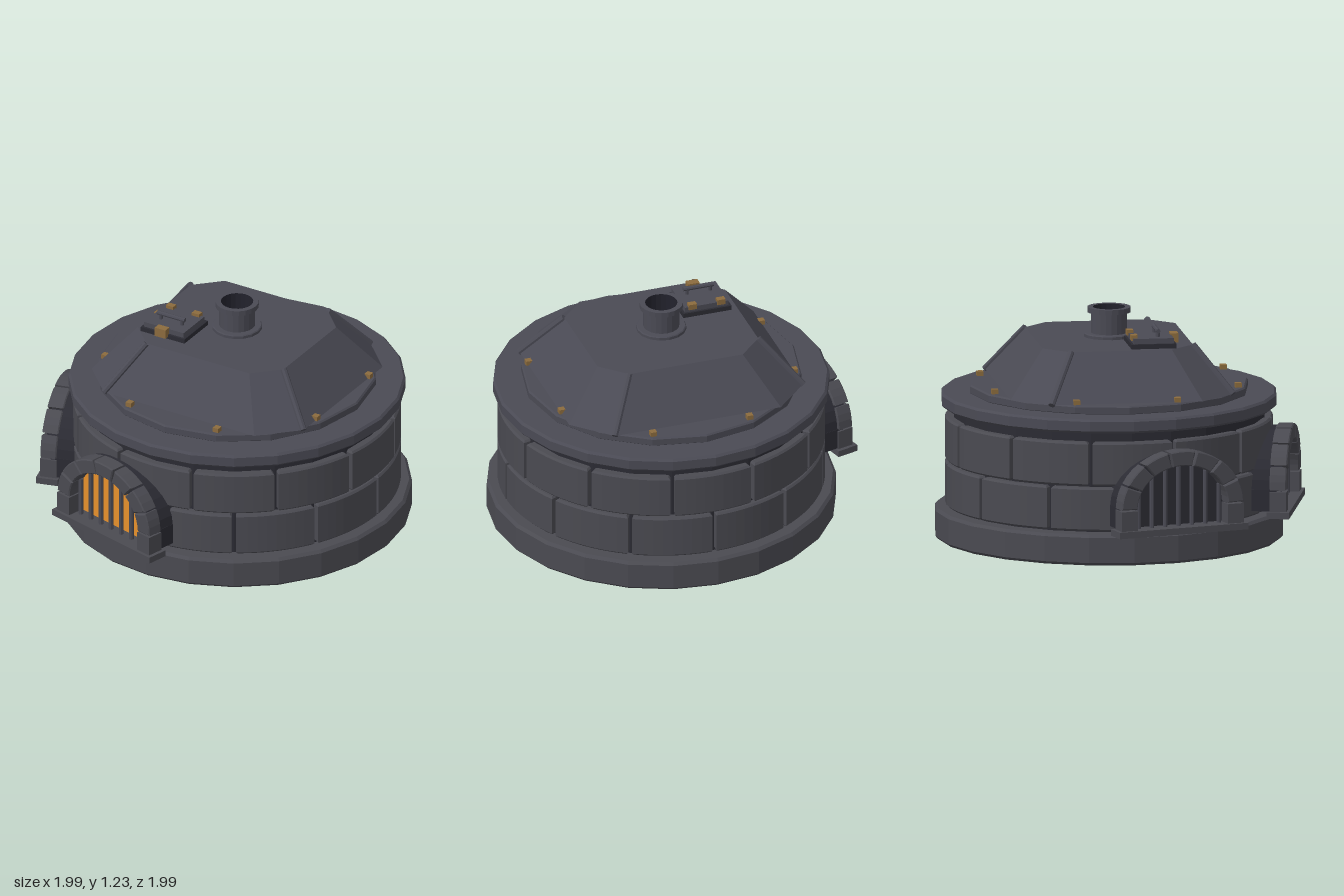
import * as THREE from 'three';

const mat = (name, color) => Object.assign(new THREE.MeshStandardMaterial({ color }), { name });

export function createModel() {
  const stone = mat('stone', 0x4a4a51);
  const iron = mat('iron', 0x4a4a54);
  const dark = mat('dark joints', 0x2b2b33);
  const soot = mat('soot', 0x22222c);
  const brass = mat('brass', 0x8b6b3d);
  const glow = mat('fire glow', 0xe8912c);

  const root = new THREE.Group();
  const oven = new THREE.Group();
  oven.name = 'oven';
  oven.position.set(0.067, 0, -0.07);
  root.add(oven);

  // Faceted mesh helper
  const add = (parent, name, geo, material, x = 0, y = 0, z = 0) => {
    const g = geo.index ? geo.toNonIndexed() : geo;
    g.computeVertexNormals();
    const m = new THREE.Mesh(g, material);
    m.name = name;
    m.position.set(x, y, z);
    parent.add(m);
    return m;
  };
  const box = (parent, name, w, h, d, material, x, y, z) =>
    add(parent, name, new THREE.BoxGeometry(w, h, d), material, x, y, z);
  // Disc with softened rims
  const disc = (name, r, y0, y1, sides, material, b = 0.012) => add(oven, name, new THREE.LatheGeometry(
    [[0, y0], [r - b, y0], [r, y0 + b], [r, y1 - b], [r - b, y1], [0, y1]].map(p => new THREE.Vector2(...p)), sides), material);
  // Round bar between two points
  const bar = (parent, name, a, b, r, material, sides = 8) => {
    const dir = b.clone().sub(a);
    const m = add(parent, name, new THREE.CylinderGeometry(r, r, dir.length(), sides), material);
    m.position.copy(a).add(b).multiplyScalar(0.5);
    m.quaternion.setFromUnitVectors(new THREE.Vector3(0, 1, 0), dir.normalize());
    return m;
  };
  const V = (x, y, z) => new THREE.Vector3(x, y, z);

  // Round layers
  disc('basePlinth', 0.927, 0, 0.165, 24, stone, 0.015);
  disc('wallCore', 0.828, 0.16, 0.71, 24, dark, 0.002);
  disc('rimRing', 0.893, 0.705, 0.78, 24, iron);
  disc('topPlate', 0.743, 0.775, 0.825, 16, iron, 0.008);

  // Two staggered courses of curved blocks
  const bevel = 0.01, gap = 0.011;
  const course = (y0, y1, offset) => {
    for (let i = 0; i < 12; i++) {
      const a0 = offset + i * Math.PI / 6 + (gap + bevel) / 0.86;
      const a1 = offset + (i + 1) * Math.PI / 6 - (gap + bevel) / 0.86;
      const s = new THREE.Shape();
      s.absarc(0, 0, 0.858, a0, a1, false);
      s.absarc(0, 0, 0.8, a1, a0, true);
      const g = new THREE.ExtrudeGeometry(s, { depth: y1 - y0 - 2 * bevel, bevelThickness: bevel,
        bevelSize: bevel, bevelSegments: 1, curveSegments: 4 });
      g.rotateX(-Math.PI / 2);
      add(oven, 'wallBlock', g, stone, 0, y0 + bevel, 0);
    }
  };
  course(0.175, 0.408, 0);
  course(0.418, 0.652, Math.PI / 12);

  // Hood: tapered octagon
  const octagon = (hx, hz, c, y) => [[c - hx, hz], [hx - c, hz], [hx, hz - c], [hx, c - hz],
    [hx - c, -hz], [c - hx, -hz], [-hx, c - hz], [-hx, hz - c]].map(([x, z]) => V(x, y, z));
  const low = octagon(0.655, 0.595, 0.19, 0.825), high = octagon(0.45, 0.402, 0.132, 1.07);
  const pts = [];
  for (let i = 0; i < 8; i++) {
    const j = (i + 1) % 8;
    pts.push(low[i], low[j], high[j], low[i], high[j], high[i], V(0, 1.07, 0), high[i], high[j]);
  }
  add(oven, 'hood', new THREE.BufferGeometry().setFromPoints(pts), iron);
  for (let i = 0; i < 8; i += 2) bar(oven, 'hoodRib', low[i], high[i], 0.018, iron);

  // Rivets around the top plate
  for (let i = 0; i < 8; i++) {
    const a = (i + 0.5) * Math.PI / 4;
    box(oven, 'rivet', 0.034, 0.03, 0.034, brass, 0.705 * Math.sin(a), 0.835, 0.705 * Math.cos(a));
  }

  // Chimney
  disc('chimneyFlange', 0.133, 1.065, 1.09, 16, iron, 0.005);
  add(oven, 'chimneyPipe', new THREE.LatheGeometry([[0.096, 1.08], [0.096, 1.2], [0.115, 1.2],
    [0.115, 1.228], [0.086, 1.228]].map(p => new THREE.Vector2(...p)), 20), iron);
  add(oven, 'chimneyBore', new THREE.LatheGeometry([[0.086, 1.228], [0.086, 1.12], [0, 1.12]]
    .map(p => new THREE.Vector2(...p)), 20), soot);

  // Roof hatch
  const hatch = new THREE.Group();
  hatch.name = 'hatch';
  hatch.position.set(-0.28, 1.07, 0.18);
  oven.add(hatch);
  box(hatch, 'hatchFrame', 0.27, 0.025, 0.24, dark, 0, 0.0125, 0);
  box(hatch, 'hatchLid', 0.245, 0.03, 0.215, iron, 0, 0.038, 0);
  box(hatch, 'hatchLatch', 0.066, 0.05, 0.042, brass, 0, 0.037, 0.125);
  for (const s of [-1, 1]) {
    box(hatch, 'hatchHinge', 0.045, 0.03, 0.034, brass, s * 0.08, 0.055, -0.1);
    bar(hatch, 'handlePost', V(s * 0.065, 0.045, 0.03), V(s * 0.065, 0.085, 0.03), 0.011, iron);
  }
  bar(hatch, 'handleGrip', V(-0.085, 0.085, 0.03), V(0.085, 0.085, 0.03), 0.012, iron);

  // Arched grates
  const spring = 0.315, inX = 0.26, inY = 0.22, outX = 0.352, outY = 0.3;
  // Band of the arch between two angles, given at an inset
  const archBand = (a0, a1, inset, n) => {
    const p = [];
    for (let i = 0; i <= n; i++) {
      const a = a0 + (a1 - a0) * i / n;
      p.push(new THREE.Vector2((outX - inset) * Math.cos(a), (outY - inset) * Math.sin(a)));
    }
    for (let i = n; i >= 0; i--) {
      const a = a0 + (a1 - a0) * i / n;
      p.push(new THREE.Vector2((inX + inset) * Math.cos(a), (inY + inset) * Math.sin(a)));
    }
    return p;
  };
  const grate = (angle, paneMaterial) => {
    const door = new THREE.Group();
    door.name = 'archedGrate';
    door.rotation.y = angle;
    oven.add(door);
    box(door, 'sill', 0.743, 0.035, 0.12, stone, 0, 0.1875, 0.942);

    // Dark surround reaching back into the wall
    const back = archBand(0, Math.PI, 0.012, 16);
    const s = new THREE.Shape(back);
    add(door, 'archBacking', new THREE.ExtrudeGeometry(s, { depth: 0.18, bevelEnabled: false }), dark, 0, spring, 0.78);

    // Voussoirs and legs
    const n = 7, step = Math.PI / n, b = 0.006;
    for (let i = 0; i < n; i++) {
      const g = new THREE.ExtrudeGeometry(new THREE.Shape(archBand(i * step + 0.035, (i + 1) * step - 0.035, b, 3)),
        { depth: 0.078, bevelThickness: b, bevelSize: b, bevelSegments: 1 });
      add(door, 'archStone', g, stone, 0, spring, 0.901);
    }
    for (const side of [-1, 1]) {
      box(door, 'archLeg', outX - inX, 0.105, 0.09, stone, side * (inX + outX) / 2, 0.2575, 0.94);
      box(door, 'legBacking', 0.07, 0.115, 0.15, dark, side * (inX + outX) / 2, 0.2625, 0.855);
    }

    // Pane behind the bars
    const pane = new THREE.Shape();
    pane.moveTo(-inX - 0.01, 0.2 - spring);
    pane.lineTo(inX + 0.01, 0.2 - spring);
    pane.lineTo(inX + 0.01, 0);
    pane.absellipse(0, 0, inX + 0.01, inY + 0.01, 0, Math.PI, false, 0);
    add(door, 'grateOpening', new THREE.ExtrudeGeometry(pane,
      { depth: 0.008, bevelEnabled: false, curveSegments: 16 }), paneMaterial, 0, spring, 0.88);

    // Vertical bars
    for (let i = -3; i <= 3; i++) {
      const x = i * 0.077;
      const top = spring + inY * Math.sqrt(1 - (x / inX) ** 2);
      bar(door, 'grateBar', V(x, 0.2, 0.925), V(x, top, 0.925), 0.013, iron);
    }
  };
  grate(-Math.PI / 12, glow);
  grate(-5 * Math.PI / 12, dark);

  return root;
}
